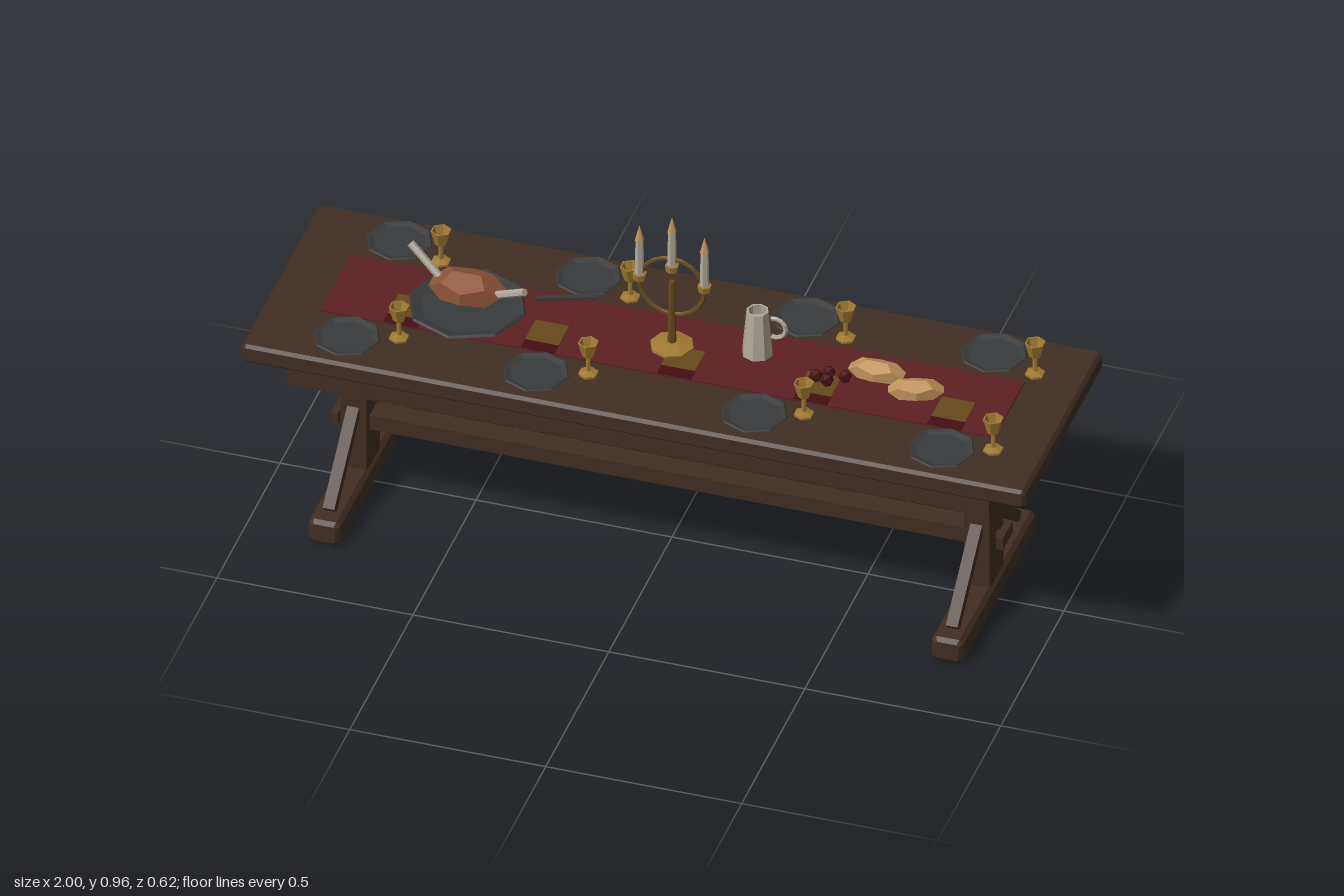
import * as THREE from 'three';

const mat = (name, color) => {
  const m = new THREE.MeshStandardMaterial({ color });
  m.name = name;
  return m;
};

export function createModel() {
  const root = new THREE.Group();
  root.name = 'banquetTable';
  const wood = mat('darkWood', 0x402e23);
  const cloth = mat('redCloth', 0x5e2024);
  const maroon = mat('darkRed', 0x430f13);
  const slate = mat('darkPewter', 0x383a3c);
  const gold = mat('gold', 0xa07a32);
  const bronze = mat('agedBrass', 0x66491c);
  const meat = mat('roastMeat', 0x8f5539);
  const crust = mat('breadCrust', 0xc0935a);
  const pale = mat('paleIvory', 0xb0a89a);

  // flat-shaded mesh helper
  const add = (name, geo, material, x = 0, y = 0, z = 0, parent = root) => {
    const g = geo.index ? geo.toNonIndexed() : geo;
    g.computeVertexNormals();
    const m = new THREE.Mesh(g, material);
    m.name = name;
    m.position.set(x, y, z);
    parent.add(m);
    return m;
  };
  const box = (w, h, d) => new THREE.BoxGeometry(w, h, d);
  const cyl = (top, bottom, h, n) => new THREE.CylinderGeometry(top, bottom, h, n);
  const lathe = (pts, n) => new THREE.LatheGeometry(pts.map(p => new THREE.Vector2(...p)), n);

  // box with every edge chamfered by c
  const chamferBox = (w, h, d, c) => {
    const a = w / 2 - c, b = h / 2 - c, k = c * 0.5;
    const s = new THREE.Shape([
      [-a, -b + k], [-a + k, -b], [a - k, -b], [a, -b + k],
      [a, b - k], [a - k, b], [-a + k, b], [-a, b - k],
    ].map(p => new THREE.Vector2(...p)));
    const g = new THREE.ExtrudeGeometry(s, {
      depth: d - 2 * c, bevelEnabled: true, bevelSegments: 1, bevelSize: c, bevelThickness: c,
    });
    return g.translate(0, 0, -d / 2 + c);
  };

  // straight rod between two points
  const rod = (name, from, to, r, n, material) => {
    const a = new THREE.Vector3(...from), b = new THREE.Vector3(...to);
    const dir = b.clone().sub(a);
    const mid = a.clone().add(b).multiplyScalar(0.5);
    const m = add(name, cyl(r, r, dir.length(), n), material, mid.x, mid.y, mid.z);
    m.quaternion.setFromUnitVectors(new THREE.Vector3(0, 1, 0), dir.normalize());
    return m;
  };

  // table frame
  add('tabletop', chamferBox(2, 0.052, 0.62, 0.008), wood, 0, 0.541, 0);
  add('stretcher', box(1.56, 0.042, 0.06), wood, 0, 0.195, 0);
  for (const s of [1, -1]) {
    add('apron', box(1.79, 0.072, 0.025), wood, 0, 0.48, s * 0.256);
    add('crossBeam', box(0.07, 0.06, 0.49), wood, s * 0.795, 0.486, 0);
    add('post', box(0.066, 0.4, 0.108), wood, s * 0.795, 0.265, 0);
    add('foot', chamferBox(0.08, 0.068, 0.585, 0.01), wood, s * 0.795, 0.034, 0);
    add('tenon', box(0.03, 0.012, 0.02), wood, s * 0.835, 0.195, 0);
    add('wedgeKey', box(0.018, 0.034, 0.08), wood, s * 0.848, 0.195, 0);
    for (const t of [1, -1]) {
      const brace = add('brace', box(0.03, 0.028, 0.26), wood, s * 0.795, 0.158, t * 0.147);
      brace.rotation.x = t * 0.72;
    }
  }

  // table runner with patches
  add('runner', box(1.72, 0.005, 0.24), cloth, 0, 0.5695, -0.002);
  for (const x of [-0.655, -0.305, 0.043, 0.39, 0.732]) {
    add('runnerPatch', box(0.086, 0.003, 0.085), bronze, x, 0.5735, 0.043);
    add('runnerPatchEnd', box(0.086, 0.003, 0.032), maroon, x, 0.5735, 0.1015);
  }

  // plates and goblets
  const dish = (r, h) => lathe([
    [0, 0], [r * 0.7, 0], [r, h * 0.7], [r * 0.97, h], [r * 0.78, h * 0.55], [0, h * 0.5],
  ], 8);
  const gobletProfile = [
    [0, 0], [0.025, 0], [0.025, 0.006], [0.006, 0.012], [0.006, 0.052], [0.015, 0.056],
    [0.026, 0.096], [0.022, 0.096], [0.012, 0.066], [0, 0.066],
  ];
  for (const z of [1, -1]) {
    for (const x of [-0.762, -0.28, 0.277, 0.755])
      add('plate', dish(0.084, 0.012), slate, x, 0.567, z * 0.208);
    for (const x of [-0.643, -0.16, 0.39, 0.873])
      add('goblet', lathe(gobletProfile, 6), gold, x, 0.567, z * 0.166);
  }

  // roast on its platter
  add('platter', dish(0.15, 0.018), slate, -0.522, 0.569, 0);
  const lump = (name, material, x, y, z, hx, hy, hz, turn = 0) => {
    const g = new THREE.DodecahedronGeometry(1 / 0.9342);
    const m = add(name, g.scale(hx, hy, hz), material, x, y, z);
    m.rotation.y = turn;
  };
  lump('roast', meat, -0.523, 0.633, 0, 0.092, 0.041, 0.058);
  rod('roastBone', [-0.59, 0.635, -0.01], [-0.678, 0.708, -0.034], 0.01, 6, pale);
  rod('roastBone', [-0.45, 0.632, 0.01], [-0.362, 0.682, 0.042], 0.01, 6, pale);
  const knife = add('carvingKnife', box(0.15, 0.006, 0.014), slate, -0.305, 0.576, -0.108);
  knife.rotation.y = 0.35;

  // loaves and fruit
  lump('loaf', crust, 0.518, 0.603, -0.015, 0.07, 0.027, 0.034);
  lump('loaf', crust, 0.632, 0.603, 0.03, 0.068, 0.026, 0.034, 0.3);
  for (const [x, z] of [[0.376, 0.03], [0.402, 0.008], [0.408, 0.04], [0.445, 0.012]])
    add('fruit', new THREE.IcosahedronGeometry(0.018), maroon, x, 0.588, z);

  // jug
  const jug = new THREE.Group();
  jug.name = 'jug';
  jug.position.set(0.206, 0.571, -0.038);
  root.add(jug);
  add('jugBody', lathe([
    [0, 0], [0.039, 0], [0.036, 0.04], [0.028, 0.128], [0.023, 0.128], [0.026, 0.1], [0, 0.1],
  ], 8), pale, 0, 0, 0, jug);
  const handle = add('jugHandle', new THREE.TorusGeometry(0.028, 0.006, 5, 8, Math.PI * 1.2),
    pale, 0.044, 0.085, 0, jug);
  handle.rotation.z = -Math.PI * 0.6;

  // candelabrum
  add('candelabrumBase', lathe([
    [0, 0], [0.055, 0], [0.055, 0.01], [0.02, 0.018], [0, 0.018],
  ], 8), gold, 0, 0.569, 0);
  add('candelabrumStem', cyl(0.008, 0.011, 0.19, 6), bronze, 0, 0.672, 0);
  add('candelabrumRing', new THREE.TorusGeometry(0.083, 0.006, 6, 20), bronze, 0, 0.752, 0);
  for (const [x, y] of [[-0.083, 0.755], [0, 0.798], [0.083, 0.755]]) {
    add('candleCup', cyl(0.018, 0.015, 0.018, 6), gold, x, y + 0.009, 0);
    add('candle', cyl(0.01, 0.012, 0.1, 6), pale, x, y + 0.067, 0);
    add('flame', new THREE.ConeGeometry(0.012, 0.044, 6), crust, x, y + 0.139, 0);
  }
  return root;
}
